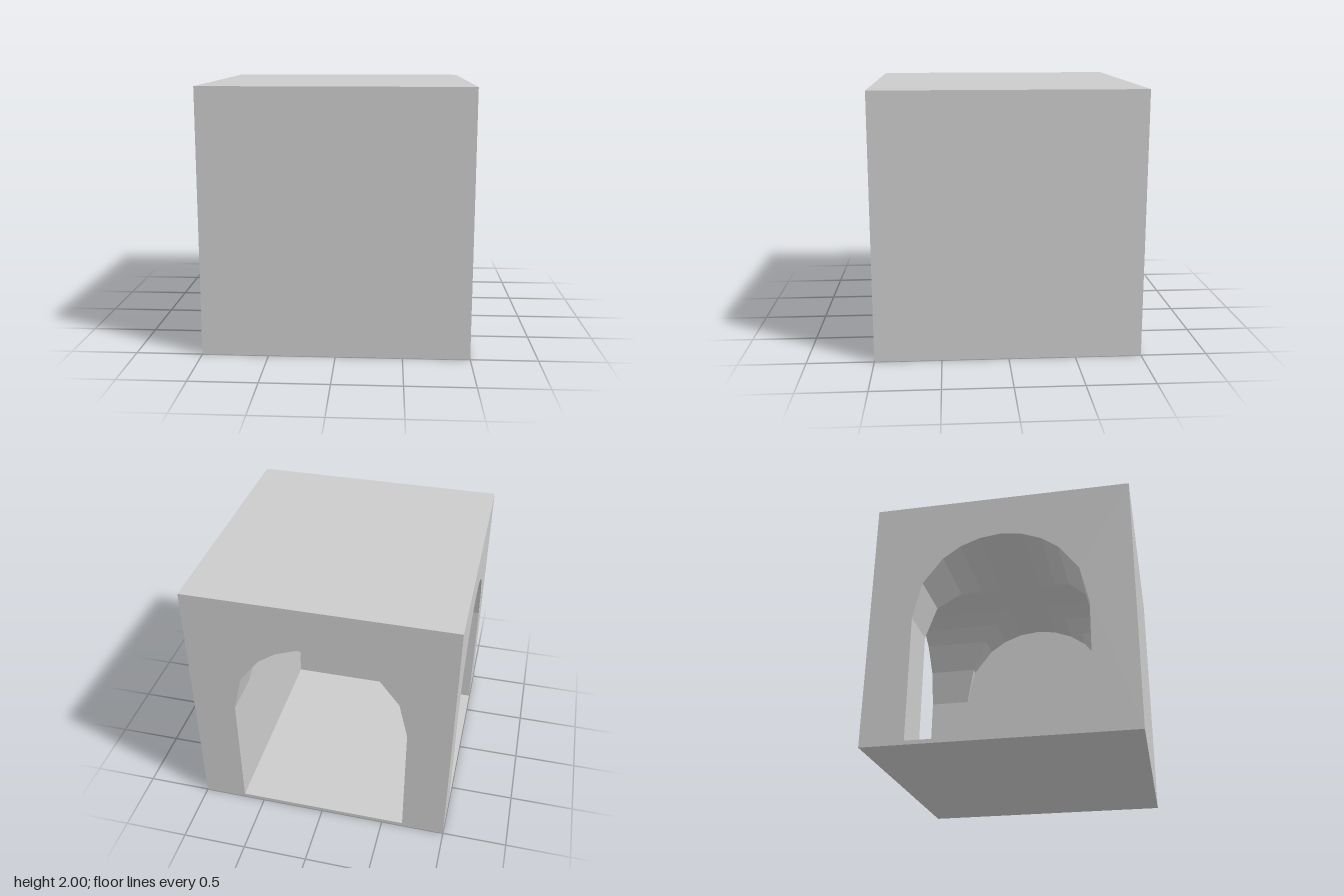
import * as THREE from 'three';

const R = 0.667;      // half width of room and arches
const SPRING = 1.0;   // height where the arches start to curve
const FLOOR = 0.03;   // floor thickness

const material = new THREE.MeshStandardMaterial({ color: 0xcccccc, flatShading: true });

function mesh(name, geometry) {
  const m = new THREE.Mesh(geometry, material);
  m.name = name;
  return m;
}

// Arch outline: up the -x jamb, over the crown, down the +x jamb
function archProfile() {
  const half = [0, 26, 48, 62, 76];
  const angles = [...half, 90, ...half.map((a) => 180 - a).reverse()];
  const curve = angles.map((a) => {
    const t = THREE.MathUtils.degToRad(a);
    return new THREE.Vector2(-R * Math.cos(t), SPRING + R * Math.sin(t));
  });
  return [new THREE.Vector2(-R, FLOOR), ...curve, new THREE.Vector2(R, FLOOR)];
}

// Horizontal or vertical flat panel
function panel(name, w, h, rotX, x, y, z) {
  return mesh(name, new THREE.PlaneGeometry(w, h).rotateX(rotX).translate(x, y, z));
}

// Barrel vault along z, cut along the diagonals where it meets the crossing vault
function vaultGeometry(profile) {
  const pos = [];
  const spans = [(u) => [-1, -Math.abs(u)], (u) => [Math.abs(u), R]];
  for (const span of spans) {
    for (let i = 0; i < profile.length - 1; i++) {
      const p = profile[i], q = profile[i + 1];
      const [p0, p1] = span(p.x), [q0, q1] = span(q.x);
      const a = [p.x, p.y, p0], b = [q.x, q.y, q0];
      const c = [q.x, q.y, q1], d = [p.x, p.y, p1];
      pos.push(...a, ...b, ...c, ...a, ...c, ...d);
    }
  }
  const g = new THREE.BufferGeometry();
  g.setAttribute('position', new THREE.Float32BufferAttribute(pos, 3));
  g.computeVertexNormals();
  return g;
}

// One passage: open arch at -z, vault, and closed wall at +z
function passage(name) {
  const group = new THREE.Group();
  group.name = name;
  const profile = archProfile();

  const wall = new THREE.Shape([
    new THREE.Vector2(-1, 0), new THREE.Vector2(1, 0),
    new THREE.Vector2(1, 2), new THREE.Vector2(-1, 2),
  ]);
  wall.holes.push(new THREE.Path(profile));
  group.add(mesh('archedWall', new THREE.ShapeGeometry(wall).rotateY(Math.PI).translate(0, 0, -1)));

  group.add(mesh('vault', vaultGeometry(profile)));

  const end = new THREE.ShapeGeometry(new THREE.Shape(profile));
  group.add(mesh('innerEndWall', end.rotateY(Math.PI).translate(0, 0, R)));

  group.add(panel('outerPlainWall', 2, 2, 0, 0, 1, 1));
  group.add(panel('threshold', 2 * R, 1 - R, -Math.PI / 2, 0, FLOOR, -(1 + R) / 2));
  return group;
}

export function createModel() {
  const model = new THREE.Group();
  model.name = 'archedCornerBlock';

  // Two identical passages crossing at right angles
  const back = passage('backPassage');
  const side = passage('rightPassage');
  side.rotation.y = Math.PI / 2;
  model.add(back, side);

  // Horizontal surfaces
  model.add(panel('roof', 2, 2, -Math.PI / 2, 0, 2, 0));
  model.add(panel('base', 2, 2, Math.PI / 2, 0, 0, 0));
  model.add(panel('roomFloor', 2 * R, 2 * R, -Math.PI / 2, 0, FLOOR, 0));
  return model;
}
